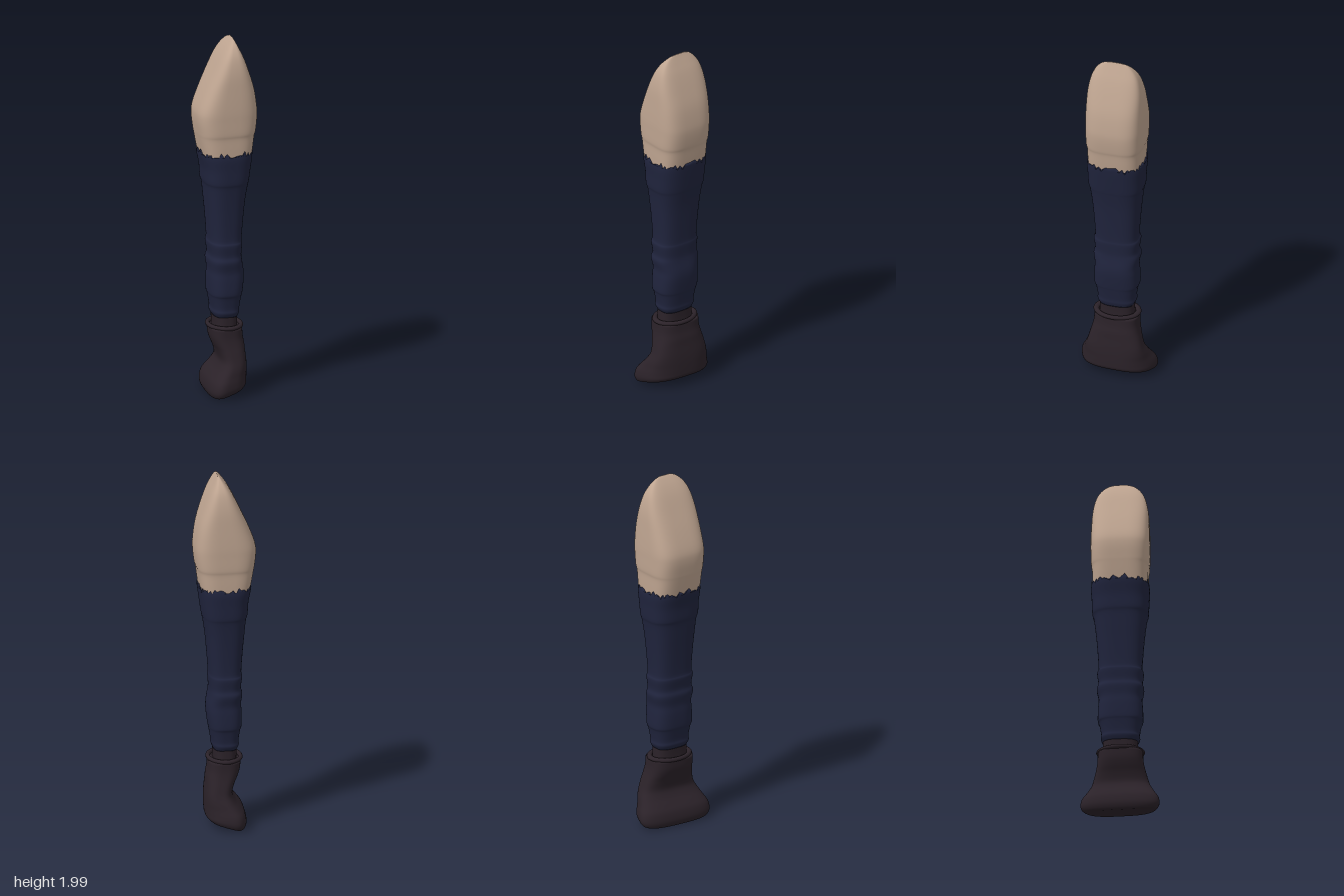
import * as THREE from 'three';

const SEG = 64;
const material = (color) => new THREE.MeshStandardMaterial({ color, roughness: 0.9, side: THREE.DoubleSide });

// Rounded-box loft. Rows rise: [y, xMin, xMax, zHalf, taper, tilt].
// Taper narrows the +x side, tilt raises it, skew slides x along z.
// n is the squareness of the section, jag roughens the last ring.
function loft(rows, { steps = 4, n = 3.2, jag = 0, skew = 0 } = {}) {
  const curveA = new THREE.CatmullRomCurve3(rows.map((r) => new THREE.Vector3(r[1], r[0], r[2])), false, 'catmullrom', 0.5);
  const curveB = new THREE.CatmullRomCurve3(rows.map((r) => new THREE.Vector3(r[3], r[4] || 0, r[5] || 0)), false, 'catmullrom', 0.5);
  const rings = (rows.length - 1) * steps;
  const pos = [], index = [];
  const power = (v) => Math.sign(v) * Math.pow(Math.abs(v), 2 / n);
  for (let j = 0; j <= rings; j++) {
    const a = curveA.getPoint(j / rings), b = curveB.getPoint(j / rings);
    const mid = (a.x + a.z) / 2, half = (a.z - a.x) / 2;
    for (let i = 0; i < SEG; i++) {
      const t = (i / SEG) * Math.PI * 2;
      const u = power(Math.cos(t));
      const z = power(Math.sin(t)) * b.x * (1 - b.y * u);
      const rough = j === rings ? jag * (Math.sin(i * 2.7) + 0.6 * Math.sin(i * 5.3 + 1)) : 0;
      pos.push(mid + half * u - skew * z, a.y + b.z * u + rough, z);
    }
  }
  for (let j = 0; j < rings; j++) {
    for (let i = 0; i < SEG; i++) {
      const k = (i + 1) % SEG;
      const p = j * SEG + i, q = j * SEG + k;
      index.push(p, p + SEG, q, q, p + SEG, q + SEG);
    }
  }
  // End caps
  for (const j of [0, rings]) {
    const c = pos.length / 3, mean = [0, 0, 0];
    for (let i = 0; i < SEG; i++) for (let d = 0; d < 3; d++) mean[d] += pos[(j * SEG + i) * 3 + d] / SEG;
    pos.push(...mean);
    for (let i = 0; i < SEG; i++) {
      const p = j * SEG + i, q = j * SEG + ((i + 1) % SEG);
      if (j === 0) index.push(c, p, q);
      else index.push(c, q, p);
    }
  }
  const geometry = new THREE.BufferGeometry();
  geometry.setAttribute('position', new THREE.Float32BufferAttribute(pos, 3));
  geometry.setIndex(index);
  geometry.computeVertexNormals();
  return geometry;
}

export function createModel() {
  const model = new THREE.Group();
  const add = (name, geometry, mat) => {
    const mesh = new THREE.Mesh(geometry, mat);
    mesh.name = name;
    model.add(mesh);
    return mesh;
  };
  const skin = material(0xbfa591);
  const cloth = material(0x20243d);
  const leather = material(0x2b2229);

  // Bare upper thigh, closing to a ridge along z
  add('thigh', loft([
    [1.33, -0.128, 0.132, 0.147],
    [1.4, -0.142, 0.142, 0.15],
    [1.46, -0.153, 0.15, 0.152],
    [1.49, -0.158, 0.157, 0.157],
    [1.56, -0.166, 0.165, 0.159],
    [1.62, -0.16, 0.164, 0.16],
    [1.72, -0.122, 0.149, 0.157],
    [1.82, -0.076, 0.119, 0.151],
    [1.9, -0.037, 0.09, 0.134],
    [1.95, -0.006, 0.067, 0.108],
    [1.985, 0.022, 0.05, 0.072],
    [2.0, 0.037, 0.043, 0.035],
  ], { n: 3.6 }), skin);

  // Trouser leg with gathered folds and a frayed top edge
  add('trouserLeg', loft([
    [0.44, -0.066, 0.064, 0.094],
    [0.465, -0.076, 0.072, 0.106],
    [0.49, -0.074, 0.073, 0.104],
    [0.55, -0.084, 0.083, 0.114],
    [0.575, -0.09, 0.088, 0.123],
    [0.65, -0.091, 0.097, 0.121],
    [0.7, -0.088, 0.096, 0.118],
    [0.755, -0.094, 0.086, 0.128],
    [0.79, -0.086, 0.083, 0.119],
    [0.85, -0.094, 0.087, 0.126],
    [0.88, -0.089, 0.085, 0.118],
    [1.0, -0.097, 0.094, 0.125],
    [1.1, -0.106, 0.104, 0.134],
    [1.18, -0.114, 0.117, 0.144],
    [1.21, -0.122, 0.123, 0.152],
    [1.28, -0.127, 0.133, 0.155],
    [1.34, -0.139, 0.141, 0.159],
    [1.37, -0.143, 0.144, 0.157],
  ], { n: 2.9, jag: 0.014 }), cloth);

  // Dark sock between trouser and boot
  add('sock', loft([
    [0.34, -0.064, 0.062, 0.096],
    [0.4, -0.063, 0.061, 0.095],
    [0.46, -0.066, 0.064, 0.095],
  ], { n: 2.8 }), leather);

  // Boot: tilted sole, broad toe towards -x, narrower heel
  add('boot', loft([
    [0.026, -0.092, 0.07, 0.165, 0.2, 0.02],
    [0.03, -0.105, 0.09, 0.19, 0.2, 0.019],
    [0.055, -0.115, 0.106, 0.203, 0.2, 0.012],
    [0.09, -0.106, 0.109, 0.198, 0.2],
    [0.125, -0.083, 0.11, 0.184, 0.16],
    [0.16, -0.056, 0.11, 0.172, 0.1],
    [0.2, -0.04, 0.108, 0.157, 0.03],
    [0.25, -0.052, 0.103, 0.143],
    [0.29, -0.07, 0.1, 0.132],
    [0.33, -0.083, 0.093, 0.125],
    [0.38, -0.088, 0.09, 0.123],
  ], { n: 3, skew: 0.05 }), leather);

  // Rolled rim around the boot opening
  const rim = add('bootRim', new THREE.TorusGeometry(0.088, 0.012, 12, 64).rotateX(Math.PI / 2), leather);
  rim.scale.set(1, 1, 1.32);
  rim.position.set(0, 0.385, 0);

  return model;
}
